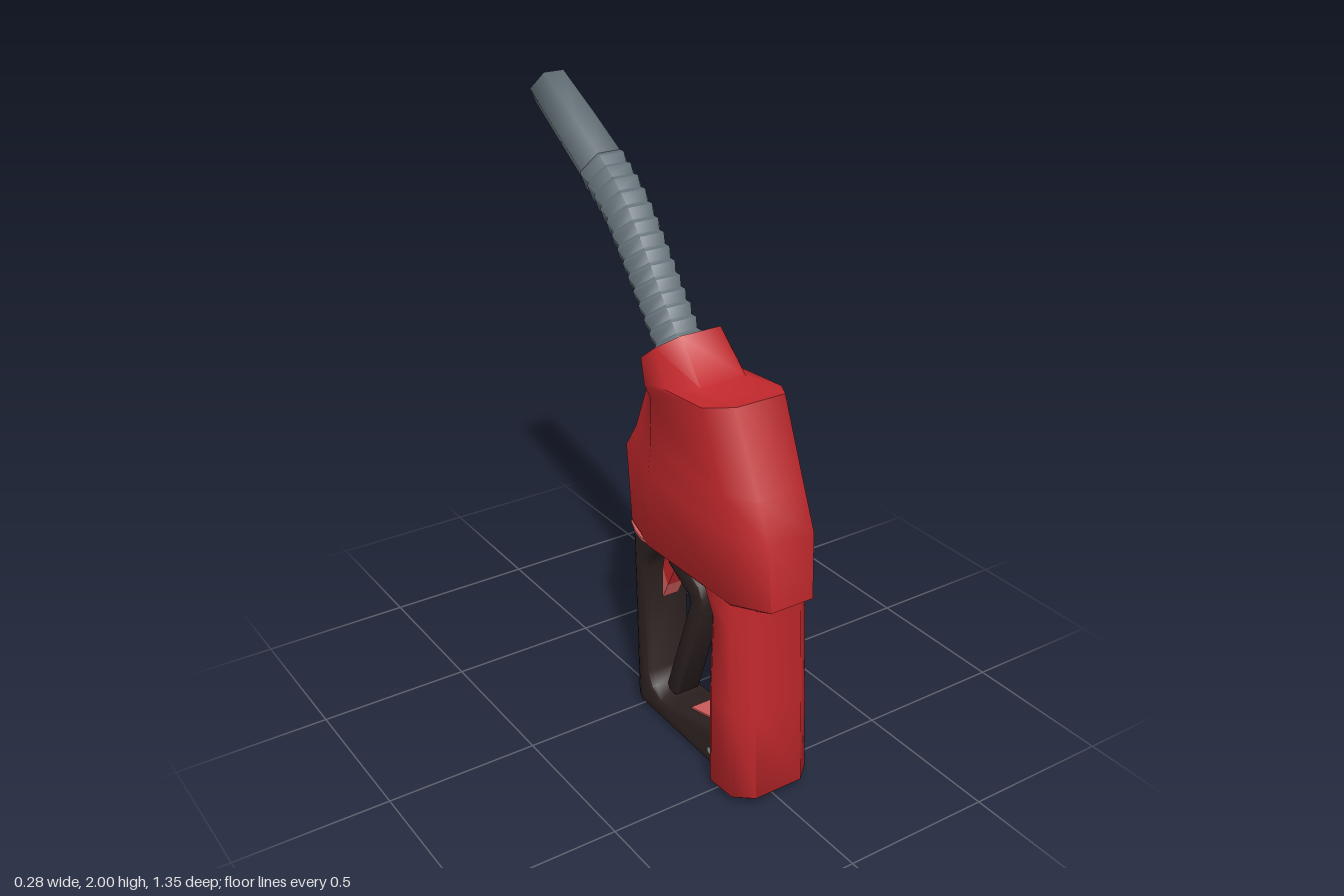
import * as THREE from 'three';
import { toCreasedNormals } from 'three/addons/utils/BufferGeometryUtils.js';

const mat = (name, color) => {
  const m = new THREE.MeshStandardMaterial({ color });
  m.name = name;
  return m;
};

// Skins a list of equal-length closed rings and caps both ends.
function loft(rings, crease) {
  const n = rings[0].length, pos = [], idx = [];
  rings.forEach(r => r.forEach(p => pos.push(p.x, p.y, p.z)));
  for (let i = 0; i < rings.length - 1; i++) {
    for (let k = 0; k < n; k++) {
      const a = i * n + k, b = i * n + (k + 1) % n;
      idx.push(a, b, a + n, b, b + n, a + n);
    }
  }
  const last = (rings.length - 1) * n;
  for (let k = 1; k < n - 1; k++) {
    idx.push(0, k + 1, k, last, last + k, last + k + 1);
  }
  // Turn the faces outward if the enclosed volume comes out negative.
  const at = i => new THREE.Vector3().fromArray(pos, idx[i] * 3);
  let volume = 0;
  for (let i = 0; i < idx.length; i += 3) volume += at(i).dot(at(i + 1).cross(at(i + 2)));
  if (volume < 0) idx.reverse();
  const g = new THREE.BufferGeometry();
  g.setAttribute('position', new THREE.Float32BufferAttribute(pos, 3));
  g.setIndex(idx);
  return toCreasedNormals(g, crease);
}

// Ten-sided slice from a front point to a back point, given as [z, y]:
// full half-width w, front end wf after chamfer cf, back end wb after chamfer cb via wm.
function slice([fz, fy], [bz, by], w, wf, cf, wb, cb, wm = (w + wb) / 2) {
  const f = new THREE.Vector3(0, fy, fz), b = new THREE.Vector3(0, by, bz);
  const d = b.clone().sub(f).normalize();
  const half = [
    [f, wf], [f.clone().addScaledVector(d, cf), w],
    [b.clone().addScaledVector(d, -cb), w], [b.clone().addScaledVector(d, -cb / 2), wm], [b, wb],
  ];
  const side = s => half.map(([p, x]) => new THREE.Vector3(s * x, p.y, p.z));
  return [...side(1), ...side(-1).reverse()];
}

// Bevelled slab from a [z, y] outline, centred on x = 0.
function slab(points, halfWidth, bevel) {
  const shape = new THREE.Shape(points.map(p => new THREE.Vector2(...p)));
  const depth = 2 * (halfWidth - bevel);
  const g = new THREE.ExtrudeGeometry(shape, {
    depth, bevelEnabled: bevel > 0, bevelSize: bevel, bevelThickness: bevel,
    bevelOffset: -bevel, bevelSegments: 2,
  });
  g.translate(0, 0, -depth / 2).rotateY(-Math.PI / 2);
  return toCreasedNormals(g, 0.8);
}

export function createModel() {
  const red = mat('red', 0xc1282c), pale = mat('pale red', 0xd4605e);
  const grey = mat('steel grey', 0x616e75), dark = mat('dark brown', 0x2c2020);
  const pinGrey = mat('pin grey', 0x8b979c);
  const group = new THREE.Group();
  const add = (name, geometry, material) => {
    const mesh = new THREE.Mesh(geometry, material);
    mesh.name = name;
    group.add(mesh);
    return mesh;
  };

  // Upper body, from its underside up to the neck
  add('body', loft([
    slice([0.62, 0.685], [-0.035, 0.675], 0.12, 0.07, 0.07, 0.075, 0.12),
    slice([0.675, 0.71], [-0.045, 0.69], 0.14, 0.075, 0.11, 0.085, 0.18, 0.11),
    slice([0.66, 0.92], [-0.065, 0.95], 0.14, 0.08, 0.10, 0.09, 0.20, 0.105),
    slice([0.61, 1.04], [0.0, 1.04], 0.14, 0.08, 0.10, 0.095, 0.15, 0.108),
    slice([0.50, 1.29], [0.05, 1.18], 0.14, 0.085, 0.09, 0.09, 0.10, 0.11),
    slice([0.32, 1.28], [0.04, 1.21], 0.14, 0.08, 0.10, 0.085, 0.08),
    slice([0.205, 1.40], [0.02, 1.26], 0.12, 0.07, 0.08, 0.08, 0.06),
  ], 1.15), red);

  // Thin pale rim where the body meets the guard
  const rim = y => slice([0.18, y + 0.012], [-0.05, y], 0.125, 0.10, 0.04, 0.085, 0.12, 0.11);
  add('bodyRim', loft([rim(0.674), rim(0.683)], 0.5), pale);

  // Thin pale plate around the spout's root
  const seat = d => slice([0.18 - d * 0.6, 1.381 + d * 0.8], [0.045 - d * 0.6, 1.279 + d * 0.8],
    0.09, 0.055, 0.06, 0.06, 0.05);
  add('neckSeat', loft([seat(0), seat(0.003)], 0.5), pale);

  // Hand grip
  add('grip', loft([
    slice([0.60, 0.008], [0.46, 0.005], 0.11, 0.08, 0.04, 0.07, 0.03),
    slice([0.645, 0.04], [0.425, 0.025], 0.14, 0.085, 0.05, 0.085, 0.06, 0.122),
    slice([0.63, 0.34], [0.418, 0.34], 0.14, 0.085, 0.05, 0.085, 0.06, 0.122),
    slice([0.612, 0.62], [0.425, 0.62], 0.14, 0.085, 0.05, 0.085, 0.06, 0.122),
    slice([0.61, 0.70], [0.37, 0.70], 0.135, 0.085, 0.05, 0.08, 0.06),
  ], 1.15), red);

  // Narrow pale seams along the back corners of the grip
  for (const s of [1, -1]) {
    const seam = add('gripSeam', new THREE.BoxGeometry(0.016, 0.42, 0.008), pale);
    seam.position.set(s * 0.085, 0.37, 0.421);
    seam.rotation.y = s * 0.4;
  }

  // Hand guard with its bracket under the body
  add('guard', slab([
    [0.425, 0.01], [0.0, 0.02], [-0.02, 0.045], [-0.045, 0.66], [0.08, 0.69], [0.195, 0.69],
    [0.10, 0.635], [0.05, 0.59], [0.027, 0.54], [0.045, 0.155], [0.07, 0.11],
    [0.115, 0.09], [0.16, 0.093], [0.425, 0.16],
  ], 0.085, 0.02), dark);
  add('guardInsert', slab([
    [0.425, 0.153], [0.425, 0.165], [0.24, 0.119], [0.24, 0.106],
  ], 0.045, 0), pale);

  // Squeeze lever and its tongue
  add('lever', slab([
    [0.10, 0.655], [0.15, 0.64], [0.265, 0.582], [0.287, 0.545], [0.284, 0.50],
    [0.16, 0.12], [0.138, 0.103], [0.105, 0.108], [0.095, 0.13],
    [0.222, 0.50], [0.212, 0.525], [0.10, 0.585],
  ], 0.045, 0.012), dark);
  add('leverTongue', slab([[0.145, 0.62], [0.07, 0.63], [0.05, 0.54], [0.08, 0.49]], 0.03, 0), red);
  add('leverTongueTip', slab([[0.08, 0.49], [0.05, 0.54], [0.05, 0.43]], 0.03, 0), pale);

  // Pivot pins
  const pin = (name, z, y, halfLength) => {
    const g = new THREE.CylinderGeometry(0.012, 0.012, halfLength * 2, 10).rotateZ(Math.PI / 2);
    add(name, g, pinGrey).position.set(0, y, z);
  };
  pin('guardPin', 0.40, 0.065, 0.088);
  pin('leverPin', 0.12, 0.612, 0.048);

  // Six-sided spout: ribbed hose to the bend, then a plain tapered tube
  const path = new THREE.CatmullRomCurve3([
    [0.14, 1.265], [0.02, 1.41], [-0.10, 1.56], [-0.20, 1.67],
    [-0.31, 1.75], [-0.47, 1.847], [-0.642, 1.948],
  ].map(([z, y]) => new THREE.Vector3(0, y, z)));
  const ring = (u, r) => {
    const c = path.getPointAt(u), t = path.getTangentAt(u);
    return Array.from({ length: 6 }, (_, k) => {
      const a = k * Math.PI / 3, s = r * Math.sin(a);
      return new THREE.Vector3(r * Math.cos(a), c.y - t.z * s, c.z + t.y * s);
    });
  };
  const ribRings = [], ribs = 15, ribEnd = 0.65;
  for (let i = 0; i < ribs; i++) {
    ribRings.push(ring(ribEnd * i / ribs, 0.075), ring(ribEnd * (i + 0.7) / ribs, 0.086));
  }
  ribRings.push(ring(ribEnd, 0.079));
  add('spoutHose', loft(ribRings, 1.1), grey);
  add('spoutTube', loft([ring(ribEnd - 0.01, 0.079), ring(0.8, 0.076), ring(1, 0.07)], 1.65), grey);

  return group;
}
